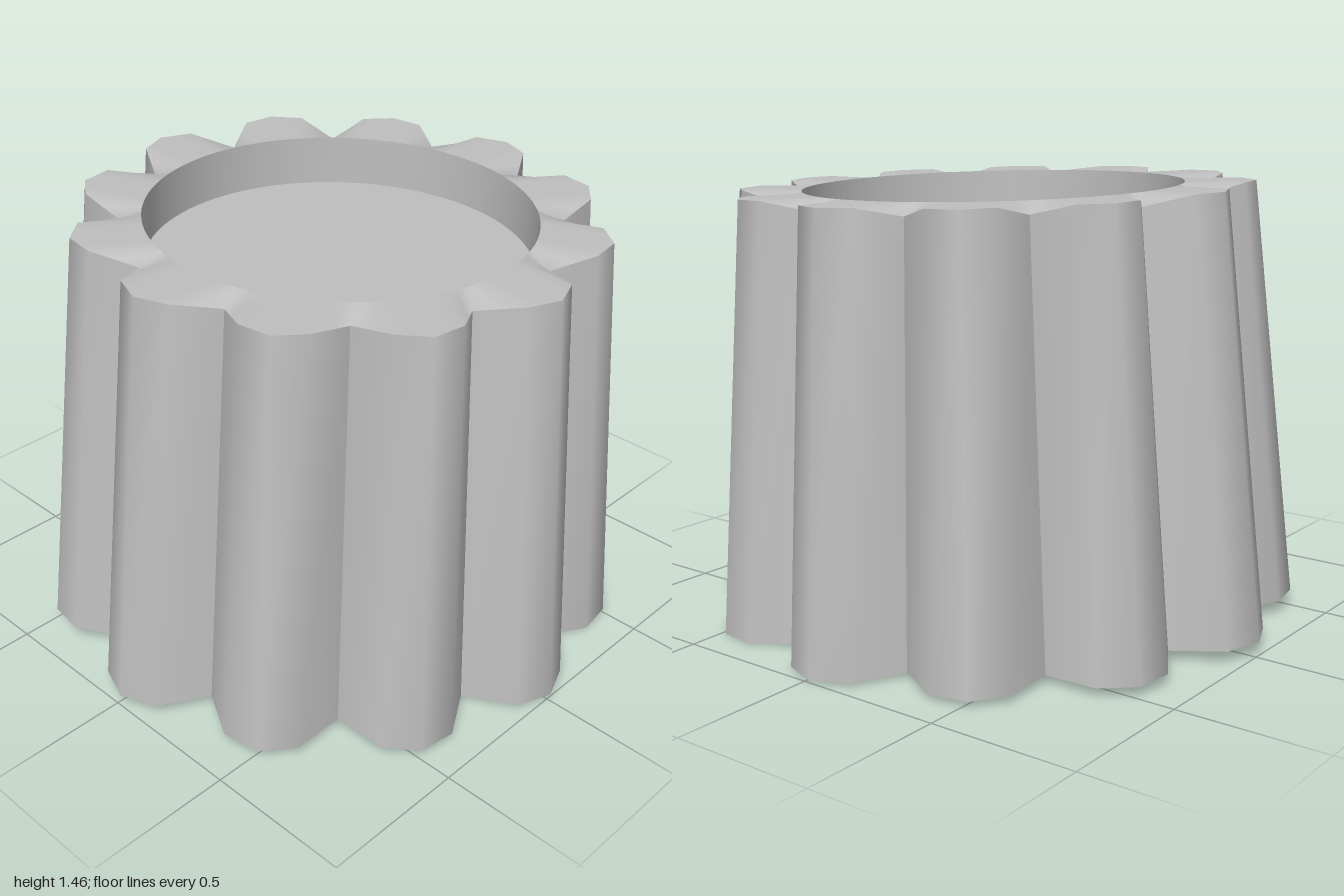
import * as THREE from 'three';

const LOBES = 12, STEP = (Math.PI * 2) / LOBES, YAW = 0.018;
const HEIGHT = 1.415, TOP_SCALE = 0.87, POCKET_R = 0.637, POCKET_DEPTH = 0.17, VALLEY_DIP = 0.035;
// one lobe from valley to valley: [angle in degrees, radius, amount of dip at the top]
const LOBE = [[-15, 0.82, 1], [-7.2, 0.96, 0], [0, 1, 0], [7.2, 0.96, 0], [15, 0.82, 1]];

const polar = (a, r, y) => new THREE.Vector3(r * Math.sin(a), y, r * Math.cos(a));

// skin between two rings of equal length, smooth within the strip
function strip(lower, upper, closed) {
  const n = lower.length, index = [];
  for (let i = 0; i < (closed ? n : n - 1); i++) {
    const j = (i + 1) % n;
    index.push(i, j, n + j, i, n + j, n + i);
  }
  const g = new THREE.BufferGeometry().setFromPoints([...lower, ...upper]);
  g.setIndex(index);
  g.computeVertexNormals();
  return g;
}

function lobeRing(k, top) {
  return LOBE.map(([deg, r, dip]) => polar(
    k * STEP + YAW + THREE.MathUtils.degToRad(deg),
    top ? r * TOP_SCALE : r,
    top ? HEIGHT - dip * VALLEY_DIP : 0));
}

export function createModel() {
  const grey = new THREE.MeshStandardMaterial({ color: 0xbfbfbf });
  grey.name = 'plain grey';
  const model = new THREE.Group();
  model.name = 'flutedPedestal';
  const body = new THREE.Group();
  body.name = 'body';
  const add = (name, geometry) => {
    const mesh = new THREE.Mesh(geometry, grey);
    mesh.name = name;
    body.add(mesh);
  };

  // tapered flutes, with a sharp crease in each valley
  const baseRing = [], topRing = [], rim = [];
  for (let k = 0; k < LOBES; k++) {
    const low = lobeRing(k, false), high = lobeRing(k, true);
    add('flute' + (k + 1), strip(low, high, false));
    for (let i = 0; i < 4; i++) {
      baseRing.push(low[i]);
      // two steps per facet so the pocket rim stays round
      topRing.push(high[i], high[i].clone().lerp(high[i + 1], 0.5));
    }
  }
  for (let i = 0; i < topRing.length; i++) {
    rim.push(polar((i / 8) * STEP - STEP / 2 + YAW, POCKET_R, HEIGHT));
  }

  // top ledge, round pocket and underside
  const floor = rim.map((p) => new THREE.Vector3(p.x, HEIGHT - POCKET_DEPTH, p.z));
  const centre = (ring, y) => ring.map(() => new THREE.Vector3(0, y, 0));
  add('topLedge', strip(topRing, rim, true));
  add('pocketWall', strip(rim, floor, true));
  add('pocketFloor', strip(floor, centre(floor, HEIGHT - POCKET_DEPTH), true));
  add('underside', strip(centre(baseRing, 0), baseRing, true));

  // slight lean towards the front left
  body.rotation.set(0.018, 0, -0.018);
  body.position.y = 0.025;
  model.add(body);
  return model;
}
